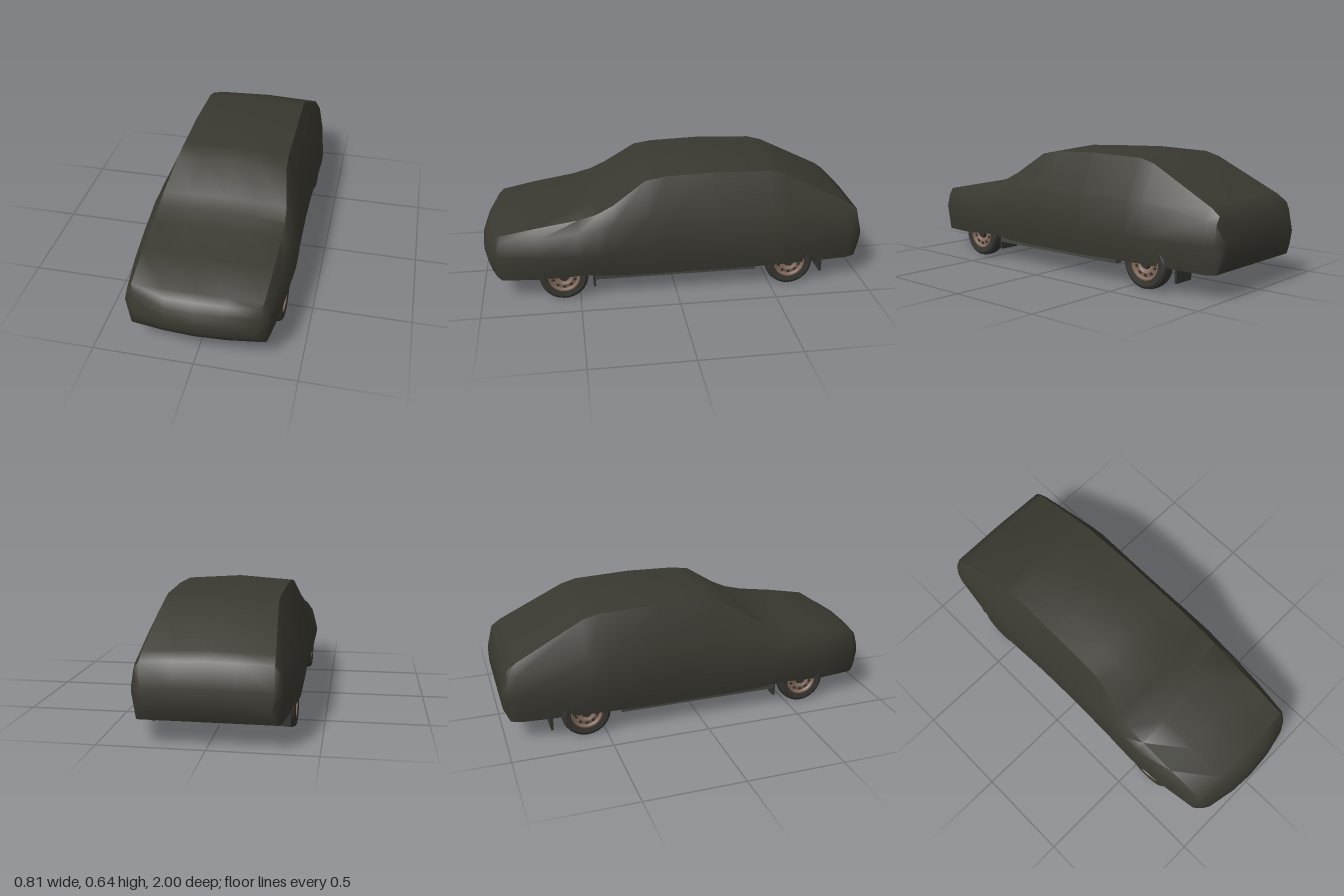
import * as THREE from 'three';
import { toCreasedNormals } from 'three/addons/utils/BufferGeometryUtils.js';

const mat = (name, color, side = THREE.FrontSide) => {
  const m = new THREE.MeshStandardMaterial({ color, side });
  m.name = name;
  return m;
};

export function createModel() {
  const car = new THREE.Group();
  car.name = 'coveredCar';
  const fabric = mat('cover fabric', 0x393830, THREE.DoubleSide);
  const rubber = mat('tyre rubber', 0x363530);
  const metal = mat('wheel metal', 0x84695b);
  const under = mat('underbody', 0x313430);
  const panel = mat('floor pressing', 0x43453f);
  const rust = mat('exhaust', 0x7a4a38);

  const add = (parent, name, geo, material, x = 0, y = 0, z = 0) => {
    const m = new THREE.Mesh(geo, material);
    m.name = name;
    m.position.set(x, y, z);
    parent.add(m);
    return m;
  };
  const box = (name, material, w, h, d, x, y, z) =>
    add(car, name, new THREE.BoxGeometry(w, h, d), material, x, y, z);
  const extrude = (points, depth) => new THREE.ExtrudeGeometry(
    new THREE.Shape(points.map(([x, y]) => new THREE.Vector2(x, y))),
    { depth, bevelEnabled: false });

  // Cover stations: z, top y, edge x, shoulder x, shoulder y, waist x, hem y
  const stations = [
    [0.995, 0.245, 0.26, 0.285, 0.226, 0.292, 0.2],
    [0.975, 0.3, 0.28, 0.305, 0.27, 0.32, 0.16],
    [0.945, 0.34, 0.3, 0.325, 0.3, 0.34, 0.13],
    [0.905, 0.362, 0.315, 0.338, 0.32, 0.354, 0.115],
    [0.7, 0.4, 0.322, 0.36, 0.34, 0.385, 0.118],
    [0.5, 0.432, 0.325, 0.37, 0.37, 0.402, 0.135],
    [0.4, 0.46, 0.325, 0.37, 0.39, 0.4, 0.13],
    [0.32, 0.5, 0.318, 0.37, 0.41, 0.395, 0.12],
    [0.15, 0.617, 0.285, 0.368, 0.42, 0.392, 0.115],
    [0.05, 0.634, 0.28, 0.367, 0.42, 0.39, 0.115],
    [-0.2, 0.642, 0.28, 0.367, 0.42, 0.392, 0.115],
    [-0.5, 0.632, 0.275, 0.37, 0.42, 0.404, 0.125],
    [-0.58, 0.61, 0.275, 0.362, 0.42, 0.4, 0.125],
    [-0.92, 0.432, 0.298, 0.33, 0.365, 0.352, 0.115],
    [-0.97, 0.395, 0.3, 0.325, 0.345, 0.338, 0.12],
    [-1, 0.28, 0.29, 0.303, 0.26, 0.308, 0.18],
  ];
  const pos = [], idx = [], n = 14;
  const quad = (a, b, c, d) => idx.push(a, b, d, b, c, d);
  for (const [z, top, edgeX, shoulderX, shoulderY, waistX, hemY] of stations) {
    // Gentle crown across the top, and a nose that curves back at its corners
    const crown = 0.035 * (top - 0.1), bend = Math.max(0, z - 0.88) * 0.4;
    const half = [[waistX * 0.94, hemY], [waistX, Math.min(0.25, top * 0.87)],
      [shoulderX, shoulderY], [edgeX, top - crown], [edgeX / 2, top - crown / 2]];
    const ring = [...half.map(([x, y]) => [-x, y]), [0, top], ...half.reverse(),
      [edgeX / 2, hemY], [0, hemY], [-edgeX / 2, hemY]];
    for (const [x, y] of ring) pos.push(x, y, z - bend * (x / 0.3) ** 2);
  }
  const last = stations.length - 1;
  for (let i = 0; i < last; i++) {
    // Ends wrap underneath, the middle stays open
    const span = i < 2 || i === last - 1 ? n : n - 4;
    for (let j = 0; j < span; j++) {
      const a = i * n + j, b = i * n + (j + 1) % n;
      quad(a, b, b + n, a + n);
    }
  }
  // End caps join the upper half of a ring to its lower half
  for (let j = 2; j < 8; j++) {
    const low = (17 - j) % n, lowNext = 16 - j === n ? 0 : 16 - j, r = last * n;
    quad(j, low, lowNext, j + 1);
    quad(r + j, r + j + 1, r + lowNext, r + low);
  }
  const skin = new THREE.BufferGeometry();
  skin.setAttribute('position', new THREE.Float32BufferAttribute(pos, 3));
  skin.setIndex(idx);
  add(car, 'carCover', toCreasedNormals(skin, 0.8), fabric);

  // Floor pan, narrowed around the wheels
  const edge = [[0.24, 0.89], [0.3, 0.84], [0.32, 0.73], [0.24, 0.71], [0.24, 0.45], [0.36, 0.42],
    [0.36, -0.44], [0.24, -0.47], [0.24, -0.74], [0.33, -0.76], [0.31, -0.96]];
  const floorGeo = extrude([...edge, ...edge.map(([x, z]) => [-x, z]).reverse()], 0.02);
  floorGeo.rotateX(Math.PI / 2);
  add(car, 'floorPan', floorGeo, under, 0, 0.155, 0);
  add(car, 'frontValance', extrude([[-0.24, 0.083], [0.24, 0.083], [0.31, 0.13], [-0.31, 0.13]], 0.07),
    under, 0, 0, 0.79);
  box('valanceStrip', metal, 0.14, 0.008, 0.04, -0.22, 0.126, 0.885);
  box('frontCrossmember', under, 0.5, 0.03, 0.06, 0, 0.115, 0.58);
  box('engineSump', under, 0.16, 0.05, 0.22, -0.03, 0.12, 0.66);
  box('gearboxTunnel', panel, 0.1, 0.02, 0.8, 0, 0.132, 0.02);
  box('rearCrossmember', panel, 0.44, 0.02, 0.035, 0, 0.128, -0.72);
  // Rusted floor patches
  box('rearFloorPatch', rust, 0.16, 0.008, 0.12, -0.13, 0.134, -0.45);
  box('sideFloorPatch', rust, 0.08, 0.008, 0.16, -0.27, 0.134, 0.2);

  for (const s of [-1, 1]) {
    box('sill', panel, 0.035, 0.03, 0.84, s * 0.342, 0.113, 0);
    box('sillEdge', metal, 0.008, 0.012, 0.8, s * 0.322, 0.113, 0);
    box('chassisRail', panel, 0.03, 0.025, 0.8, s * 0.2, 0.125, 0.45);
    box('trailingArm', under, 0.03, 0.025, 0.26, s * 0.22, 0.115, -0.5);
    for (const z of [0.25, -0.2])
      box('floorPressing', panel, 0.13, 0.012, 0.3, s * 0.12, 0.131, z);
    // Mud flaps hang behind each wheel
    box('frontMudFlap', under, 0.115, 0.075, 0.012, s * 0.298, 0.094, 0.425);
    box('rearMudFlap', under, 0.115, 0.075, 0.012, s * 0.298, 0.094, -0.775);
  }

  // Axles
  for (const [name, z, r] of [['frontAxle', 0.58, 0.012], ['rearAxle', -0.6, 0.022]]) {
    const axle = add(car, name, new THREE.CylinderGeometry(r, r, 0.6, 12), under, 0, 0.12, z);
    axle.rotation.z = Math.PI / 2;
  }

  // Exhaust line and silencers
  const path = [[0.13, 0.115, 0.64], [0.11, 0.11, 0.5], [0.02, 0.11, 0.3], [0, 0.11, -0.3],
    [0.15, 0.11, -0.46], [0.16, 0.1, -0.6], [0.2, 0.13, -0.75], [0.2, 0.132, -0.95]];
  const curve = new THREE.CatmullRomCurve3(
    path.map((p) => new THREE.Vector3(...p)), false, 'catmullrom', 0.25);
  add(car, 'exhaustPipe', new THREE.TubeGeometry(curve, 60, 0.012, 8), rust);
  for (const [x, y, z, length] of [[0, 0.118, 0.06, 0.2], [0.2, 0.138, -0.85, 0.17]]) {
    const can = add(car, 'silencer', new THREE.CylinderGeometry(0.042, 0.042, length, 14), rust, x, y, z);
    can.rotation.x = Math.PI / 2;
    can.scale.z = 0.55;
  }

  // Wheels: tyre and rim are turned profiles with the outer face towards +y
  const turned = (points) => toCreasedNormals(
    new THREE.LatheGeometry(points.map(([r, y]) => new THREE.Vector2(r, y)), 32), 0.6);
  const tyreGeo = turned([[0.078, -0.036], [0.108, -0.038], [0.121, -0.03], [0.125, -0.015],
    [0.125, 0.015], [0.121, 0.03], [0.108, 0.038], [0.082, 0.034], [0.078, 0.02]]);
  const rimGeo = turned([[0, -0.03], [0.08, -0.03], [0.08, 0.033], [0.074, 0.033],
    [0.068, 0.02], [0.045, 0.025], [0.034, 0.018], [0, 0.018]]);
  for (const s of [-1, 1]) for (const z of [0.58, -0.6]) {
    const wheel = new THREE.Group();
    wheel.name = 'wheel';
    wheel.position.set(s * 0.333, 0.126, z);
    wheel.rotation.z = -s * Math.PI / 2;
    add(wheel, 'tyre', tyreGeo, rubber);
    add(wheel, 'rim', rimGeo, metal);
    add(wheel, 'hubCap', new THREE.CylinderGeometry(0.022, 0.028, 0.014, 20), under, 0, 0.024, 0);
    add(wheel, 'brakeDrum', new THREE.CylinderGeometry(0.06, 0.055, 0.02, 24), under, 0, -0.036, 0);
    for (let k = 0; k < 10; k++) {
      const a = k * Math.PI / 5;
      add(wheel, 'rimSlot', new THREE.CylinderGeometry(0.008, 0.008, 0.006, 10), under,
        0.057 * Math.cos(a), 0.022, 0.057 * Math.sin(a));
    }
    car.add(wheel);
  }
  return car;
}
